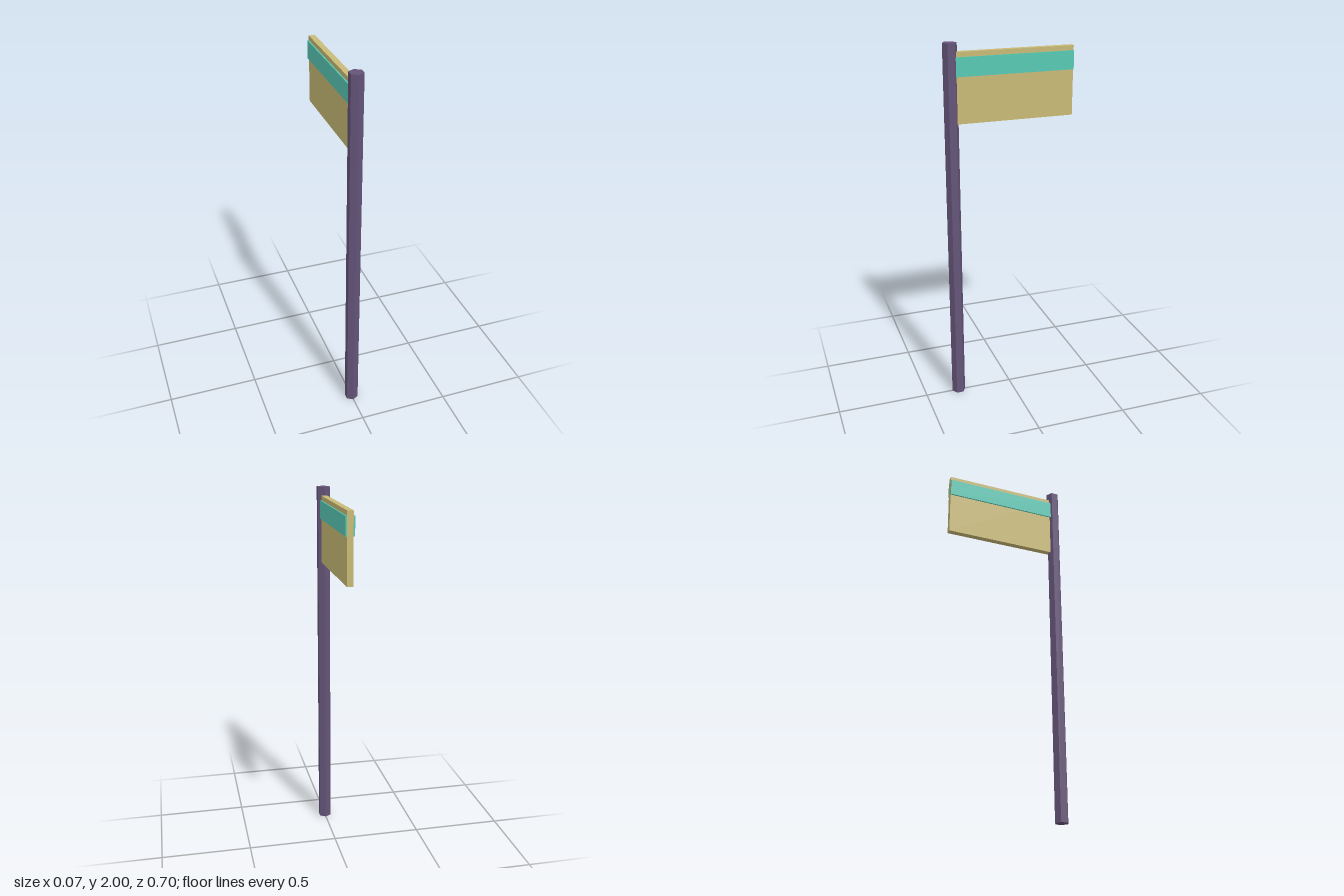
import * as THREE from 'three';

export function createModel() {
  const model = new THREE.Group();
  model.name = 'signpost';

  const material = (name, color) => {
    const m = new THREE.MeshStandardMaterial({ color });
    m.name = name;
    return m;
  };
  const purple = material('dusky purple', 0x645478);
  const tan = material('sand tan', 0xc9ba76);
  const teal = material('teal', 0x57c9b4);

  const add = (name, geometry, mat, x, y, z) => {
    const mesh = new THREE.Mesh(geometry, mat);
    mesh.name = name;
    mesh.position.set(x, y, z);
    model.add(mesh);
  };

  // Six-sided pole with an edge facing front; flat facets
  const poleZ = 0.31;
  const pole = new THREE.CylinderGeometry(0.0378, 0.0378, 2, 6).toNonIndexed();
  pole.computeVertexNormals();
  add('pole', pole, purple, 0, 1, poleZ);

  // Board running back from the pole's core
  const back = -0.348;
  const length = poleZ - back;
  const midZ = (poleZ + back) / 2;
  const boardWidth = 0.032;
  add('signBoard', new THREE.BoxGeometry(boardWidth, 0.366, length), tan, 0, 1.771, midZ);

  // Raised stripe on each face of the board
  const stripe = 0.0075;
  for (const [name, side] of [['leftStripe', 1], ['rightStripe', -1]]) {
    add(name, new THREE.BoxGeometry(stripe, 0.098, length), teal,
      side * (boardWidth + stripe) / 2, 1.88, midZ);
  }

  return model;
}
